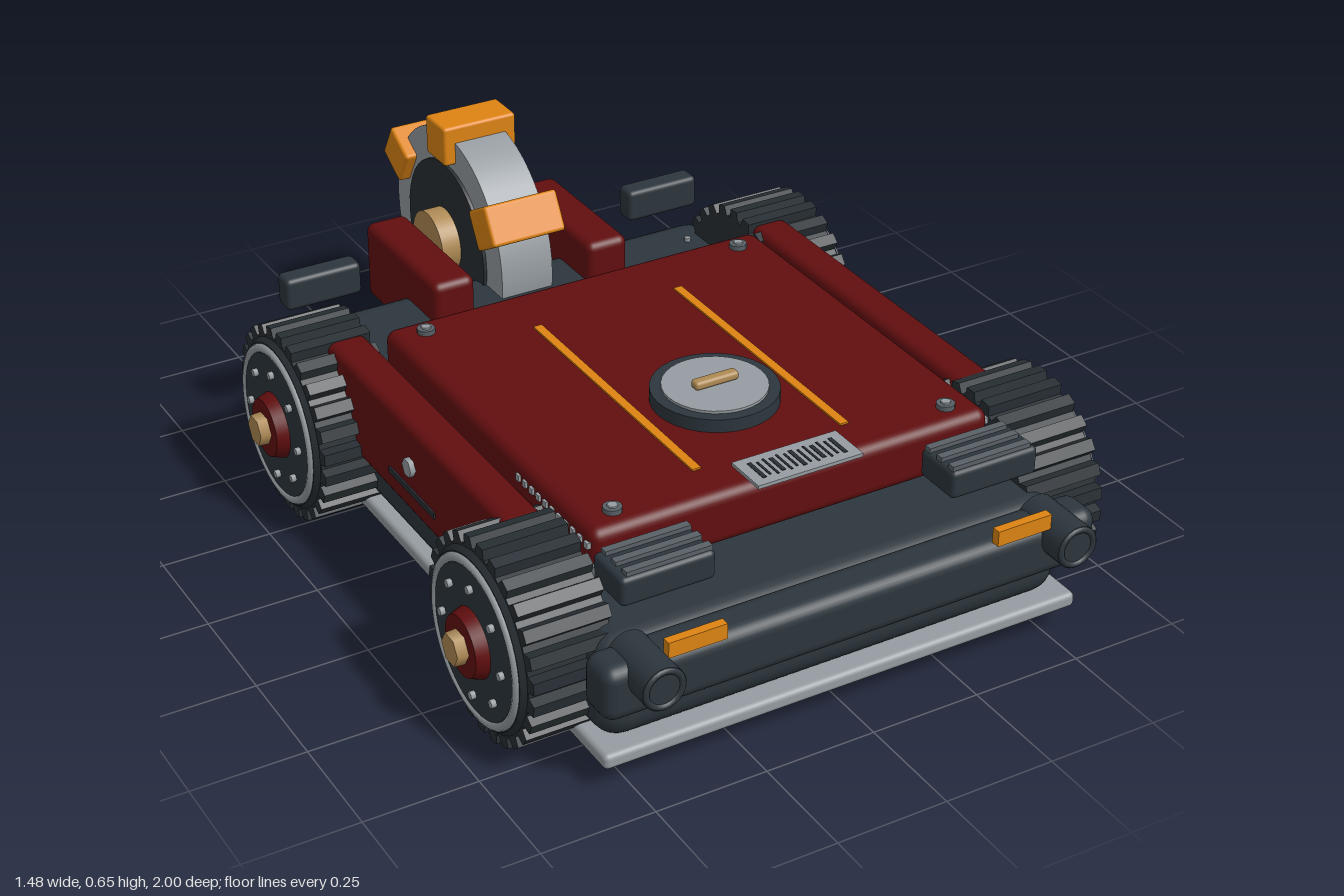
import * as THREE from 'three';
import { RoundedBoxGeometry } from 'three/addons/geometries/RoundedBoxGeometry.js';

export function createModel() {
  const model = new THREE.Group();
  model.name = 'rover';

  const mat = (name, color) => {
    const m = new THREE.MeshStandardMaterial({ color });
    m.name = name;
    return m;
  };
  const red = mat('dark red paint', 0x620e0f);
  const dark = mat('charcoal', 0x2c363d);
  const rubber = mat('tyre rubber', 0x272e33);
  const steel = mat('light steel', 0x969ca1);
  const orange = mat('orange', 0xdd8413);
  const brass = mat('brass', 0xae8a54);
  const teal = mat('teal lamp', 0x1792a8);
  const slate = mat('slate', 0x596167);

  // Helpers: each takes a centre position
  const add = (name, geo, m, x = 0, y = 0, z = 0, parent = model) => {
    const mesh = new THREE.Mesh(geo, m);
    mesh.name = name;
    mesh.position.set(x, y, z);
    parent.add(mesh);
    return mesh;
  };
  const box = (name, m, w, h, d, x, y, z, parent) =>
    add(name, new THREE.BoxGeometry(w, h, d), m, x, y, z, parent);
  const round = (name, m, w, h, d, r, x, y, z, parent) =>
    add(name, new RoundedBoxGeometry(w, h, d, 3, r), m, x, y, z, parent);
  const discX = (name, m, r0, r1, len, x, y, z, parent, seg = 32) =>
    add(name, new THREE.CylinderGeometry(r1, r0, len, seg).rotateZ(-Math.PI / 2), m, x, y, z, parent);
  const discY = (name, m, r, h, x, y, z, seg = 32) =>
    add(name, new THREE.CylinderGeometry(r, r, h, seg), m, x, y, z);
  const discZ = (name, m, r, len, x, y, z, seg = 24) =>
    add(name, new THREE.CylinderGeometry(r, r, len, seg).rotateX(Math.PI / 2), m, x, y, z);

  // Hull and skid plate
  round('hull', dark, 1.09, 0.23, 1.48, 0.06, 0, 0.195, 0.14);
  round('skidPlate', steel, 1.12, 0.035, 1.52, 0.012, 0, 0.075, 0.15);

  // Raised armour cover
  round('topCover', red, 0.935, 0.122, 0.925, 0.025, 0, 0.391, 0.238);

  // Round hatch with handle
  discY('hatchRim', dark, 0.136, 0.03, 0, 0.467, 0.38);
  discY('hatchLid', steel, 0.112, 0.012, 0, 0.482, 0.38);
  round('hatchHandle', brass, 0.105, 0.02, 0.026, 0.008, 0, 0.498, 0.38);

  // Striped plaque at the front of the cover
  box('plaque', steel, 0.245, 0.008, 0.1, 0, 0.474, 0.695);
  for (let i = 0; i < 13; i++) {
    const w = i % 3 === 0 ? 0.009 : 0.005;
    box('plaqueBar', rubber, w, 0.002, i % 2 ? 0.05 : 0.06, -0.095 + i * 0.0158, 0.4785, 0.695);
  }

  // Front bumper
  round('bumper', dark, 1.15, 0.122, 0.1, 0.03, 0, 0.248, 0.892);

  // Parts mirrored left and right
  for (const s of [-1, 1]) {
    box('coverStripe', orange, 0.02, 0.006, 0.665, s * 0.175, 0.453, 0.267);
    for (const z of [-0.165, 0.645]) {
      discY('coverScrew', slate, 0.02, 0.012, s * 0.393, 0.457, z, 12);
      discY('coverScrewHead', steel, 0.011, 0.016, s * 0.393, 0.459, z, 6);
    }
    for (let i = 0; i < 11; i++)
      box('edgeRivet', steel, 0.018, 0.014, 0.014, s * 0.464, 0.418, 0.4 + i * 0.028);
    for (let i = 0; i < 4; i++)
      discY('deckRivet', steel, 0.008, 0.012, s * 0.45, 0.313, -0.255 - i * 0.075, 8);

    // Side skirt with bolt and slot
    round('sideSkirt', red, 0.09, 0.215, 0.84, 0.02, s * 0.54, 0.325, 0.143);
    discX('skirtBolt', steel, 0.021, 0.021, 0.014, s * 0.59, 0.34, 0.145, model, 6);
    box('skirtSlot', rubber, 0.006, 0.014, 0.21, s * 0.586, 0.278, 0.145);

    // Front bumper lamps and tow horns
    box('markerLamp', orange, 0.13, 0.035, 0.02, s * 0.38, 0.327, 0.94);
    discZ('towHorn', dark, 0.048, 0.14, s * 0.48, 0.28, 0.925);
    add('towHornRing', new THREE.TorusGeometry(0.04, 0.008, 8, 24), dark, s * 0.48, 0.28, 0.992);

    // Louvred vents
    round('ventBox', dark, 0.21, 0.065, 0.115, 0.012, s * 0.38, 0.402, 0.785);
    for (let i = 0; i < 3; i++)
      box('ventSlat', slate, 0.19, 0.012, 0.018, s * 0.375, 0.438, 0.745 + i * 0.04);
    box('ventBracket', steel, 0.012, 0.07, 0.02, s * 0.478, 0.365, 0.73);

    // Tail lamp housings
    round('tailHousing', dark, 0.185, 0.078, 0.055, 0.012, s * 0.443, 0.376, -0.61);
    for (const x of [0.398, 0.488]) discZ('tailLamp', teal, 0.02, 0.02, s * x, 0.376, -0.638, 16);

    // Arms that hold the rear cutter
    round('cutterArm', red, 0.105, 0.19, 0.365, 0.02, s * 0.198, 0.31, -0.597);
  }

  // Drive wheels, modelled with the outer side towards +x
  const makeWheel = () => {
    const g = new THREE.Group();
    g.name = 'driveWheel';
    const lugs = 26;
    const tread = new THREE.Shape();
    for (let i = 0; i < lugs; i++) {
      [[0, 0.2], [0.12, 0.222], [0.6, 0.222], [0.72, 0.2]].forEach(([t, r], k) => {
        const a = ((i + t) / lugs) * Math.PI * 2;
        const p = [Math.cos(a) * r, Math.sin(a) * r];
        if (i + k === 0) tread.moveTo(...p); else tread.lineTo(...p);
      });
    }
    const tyre = new THREE.ExtrudeGeometry(tread, { depth: 0.186, bevelEnabled: false });
    add('tyre', tyre.translate(0, 0, -0.093).rotateY(Math.PI / 2), rubber, 0, 0, 0, g);
    discX('sidewall', rubber, 0.196, 0.185, 0.012, 0.098, 0, 0, g, 40);
    add('rimRing', new THREE.TorusGeometry(0.172, 0.011, 8, 48).rotateY(Math.PI / 2), steel, 0.102, 0, 0, g);
    discX('rimDisc', dark, 0.165, 0.163, 0.012, 0.103, 0, 0, g, 40);
    for (let i = 0; i < 8; i++) {
      const a = (i / 8) * Math.PI * 2;
      discX('rimBolt', steel, 0.009, 0.009, 0.014, 0.113, Math.sin(a) * 0.125, Math.cos(a) * 0.125, g, 6);
    }
    discX('hub', red, 0.077, 0.066, 0.032, 0.12, 0, 0, g);
    discX('hubNut', brass, 0.037, 0.035, 0.03, 0.145, 0, 0, g, 6);
    return g;
  };
  for (const s of [-1, 1]) {
    for (const z of [-0.325, 0.613]) {
      const wheel = makeWheel();
      wheel.position.set(s * 0.578, 0.224, z);
      if (s < 0) wheel.rotation.y = Math.PI;
      model.add(wheel);
    }
  }

  // Rear cutter wheel
  const cutter = new THREE.Group();
  cutter.name = 'rearCutter';
  cutter.position.set(0, 0.347, -0.712);
  model.add(cutter);
  discX('cutterRing', steel, 0.27, 0.27, 0.13, 0, 0, 0, cutter, 48);
  discX('cutterDisc', rubber, 0.193, 0.193, 0.146, 0, 0, 0, cutter, 40);
  discX('cutterAxle', brass, 0.078, 0.078, 0.24, 0, 0, 0, cutter, 32);
  for (let i = 0; i < 6; i++) {
    const a = (i / 6) * Math.PI * 2;
    const tooth = round('cutterTooth', orange, 0.186, 0.096, 0.096, 0.008,
      0, Math.cos(a) * 0.258, Math.sin(a) * 0.258, cutter);
    tooth.rotation.x = a;
  }
  return model;
}
